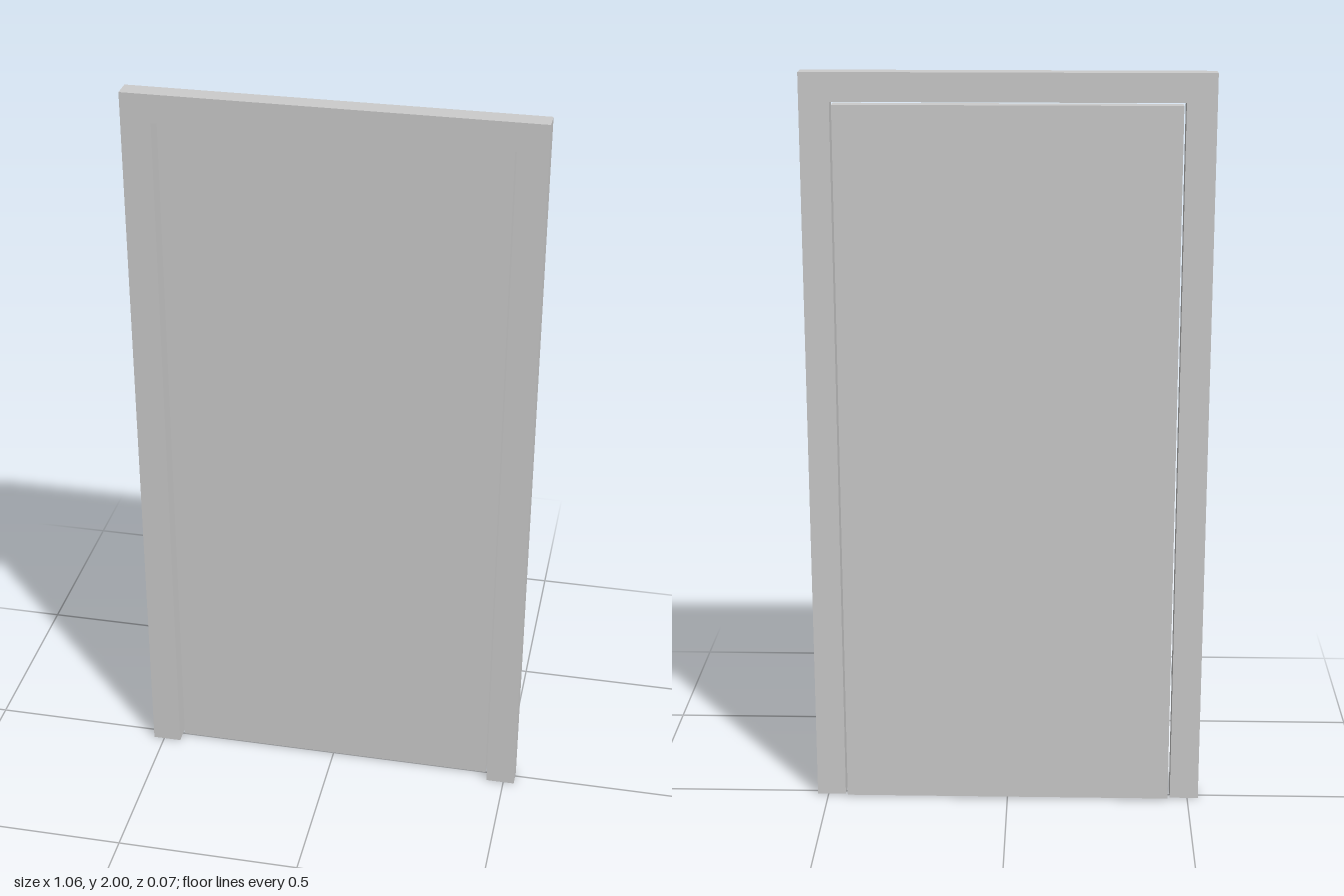
import * as THREE from 'three';

export function createModel() {
  const group = new THREE.Group();
  const material = new THREE.MeshStandardMaterial({ color: 0xcccccc, flatShading: true });

  // Surround: one arch-shaped outline, open at the floor
  const W = 0.53, H = 2, openW = 0.452, openH = 1.925;
  const outline = new THREE.Shape([
    [-W, 0], [-openW, 0], [-openW, openH], [openW, openH],
    [openW, 0], [W, 0], [W, H], [-W, H],
  ].map(([x, y]) => new THREE.Vector2(x, y)));
  const backZ = -0.018, frontZ = 0.034;
  const frame = new THREE.Mesh(
    new THREE.ExtrudeGeometry(outline, { depth: frontZ - backZ, bevelEnabled: false }), material);
  frame.position.z = backZ;
  frame.name = 'doorFrame';
  group.add(frame);

  // Door leaf: small clearance all round, proud of the frame at the back
  const leafBottom = 0.005, leafTop = 1.92, leafDepth = 0.04;
  const leaf = new THREE.Mesh(
    new THREE.BoxGeometry(0.89, leafTop - leafBottom, leafDepth), material);
  leaf.position.set(0, (leafTop + leafBottom) / 2, -0.034 + leafDepth / 2);
  leaf.name = 'doorLeaf';
  group.add(leaf);

  return group;
}
